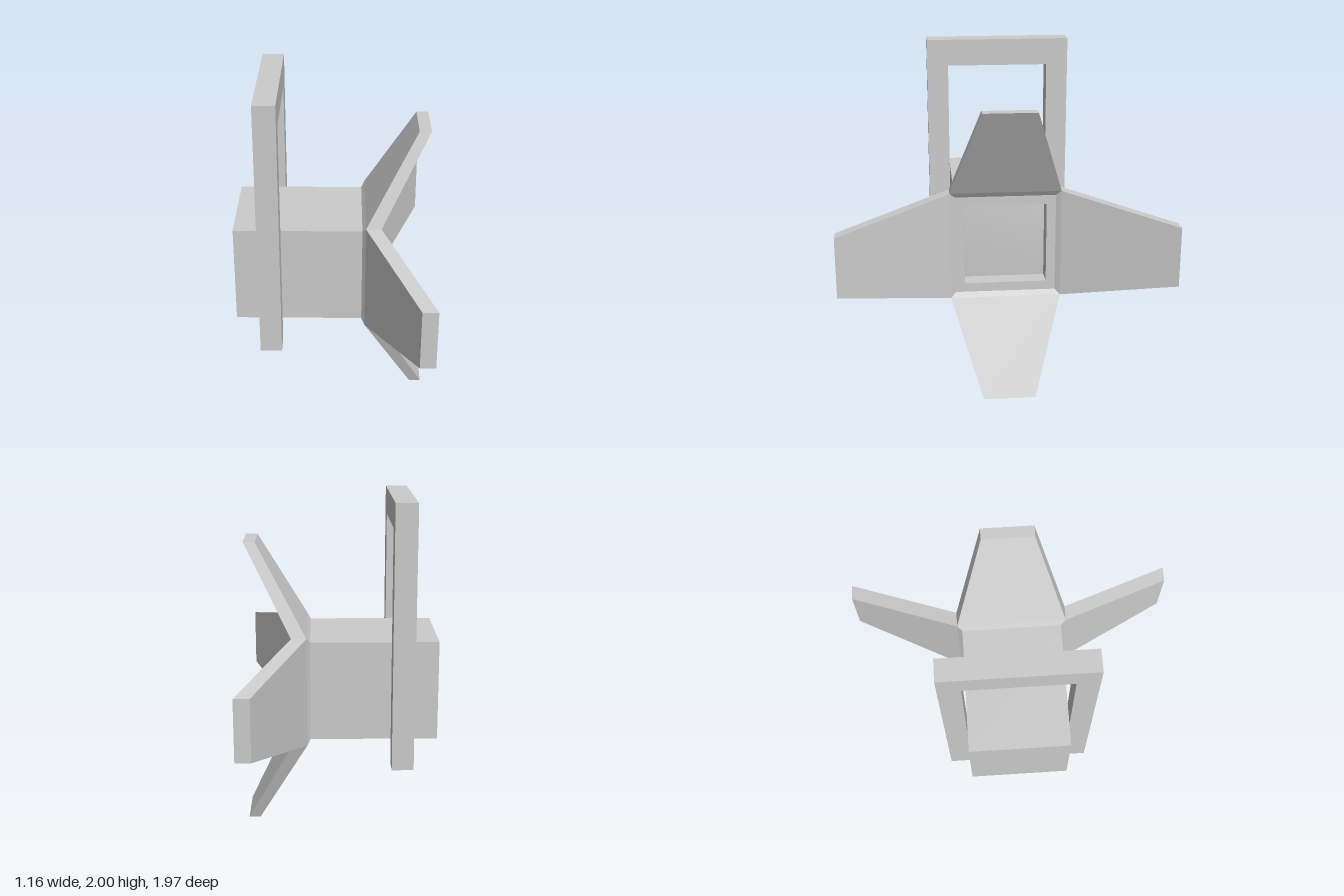
import * as THREE from 'three';
import { mergeVertices } from 'three/addons/utils/BufferGeometryUtils.js';

const AXIS_Y = 0.87; // height of the lamp's centre line

// Skin four-cornered rings, listed counter-clockwise about the direction of travel
function loft(rings) {
  const pos = [];
  const quad = (a, b, c, d) => pos.push(...a, ...b, ...c, ...a, ...c, ...d);
  for (let r = 0; r < rings.length - 1; r++) {
    const a = rings[r], b = rings[r + 1];
    for (let i = 0; i < 4; i++) {
      const j = (i + 1) % 4;
      quad(a[i], a[j], b[j], b[i]);
    }
  }
  quad(...[...rings[0]].reverse());
  quad(...rings[rings.length - 1]);
  const g = new THREE.BufferGeometry();
  g.setAttribute('position', new THREE.Float32BufferAttribute(pos, 3));
  g.computeVertexNormals();
  return g;
}

export function createModel() {
  const model = new THREE.Group();
  model.name = 'floodlight';
  const mat = new THREE.MeshStandardMaterial({ color: 0xcccccc, flatShading: true });
  const smooth = new THREE.MeshStandardMaterial({ color: 0xcccccc });

  const add = (name, geometry, material = mat, y = AXIS_Y) => {
    const mesh = new THREE.Mesh(geometry, material);
    mesh.name = name;
    mesh.position.y = y;
    model.add(mesh);
    return mesh;
  };

  // Housing: square sections along x, out to the collar and back into the recess
  const square = ([x, h]) => [[x, h, h], [x, -h, h], [x, -h, -h], [x, h, -h]];
  add('housing', loft([
    [-0.58, 0.3], [0.18, 0.3], [0.2, 0.33], [0.29, 0.33],
    [0.27, 0.3], [0.27, 0.245], [0.15, 0.245],
  ].map(square)));

  // Lens: thin slab with softened normals
  let lens = new THREE.BoxGeometry(0.03, 0.48, 0.48);
  lens.deleteAttribute('normal');
  lens.deleteAttribute('uv');
  lens = mergeVertices(lens);
  lens.computeVertexNormals();
  add('lens', lens, smooth).position.x = 0.16;

  // Barn doors: slanted tapering flaps on the four sides of the collar
  const slice = (y, x0, x1, w) => [[x1, y, w], [x1, y, -w], [x0, y, -w], [x0, y, w]];
  const endFlap = loft([slice(0.33, 0.2, 0.29, 0.33), slice(0.87, 0.5, 0.57, 0.155)]);
  const sideFlap = loft([slice(0.33, 0.2, 0.29, 0.33), slice(0.985, 0.49, 0.58, 0.18)]);
  ['topFlap', 'leftFlap', 'bottomFlap', 'rightFlap'].forEach((name, i) => {
    add(name, i % 2 ? sideFlap : endFlap).rotation.x = i * Math.PI / 2;
  });

  // Bracket: inverted U straddling the housing
  const u = new THREE.Shape([
    [-0.435, 0.42], [-0.305, 0.42], [-0.305, 1.84], [0.305, 1.84],
    [0.305, 0.42], [0.435, 0.42], [0.435, 2], [-0.435, 2],
  ].map(([z, y]) => new THREE.Vector2(z, y)));
  const bracket = new THREE.ExtrudeGeometry(u, { depth: 0.13, bevelEnabled: false });
  bracket.rotateY(Math.PI / 2).translate(-0.43, 0, 0);
  add('bracket', bracket, mat, 0);

  return model;
}
